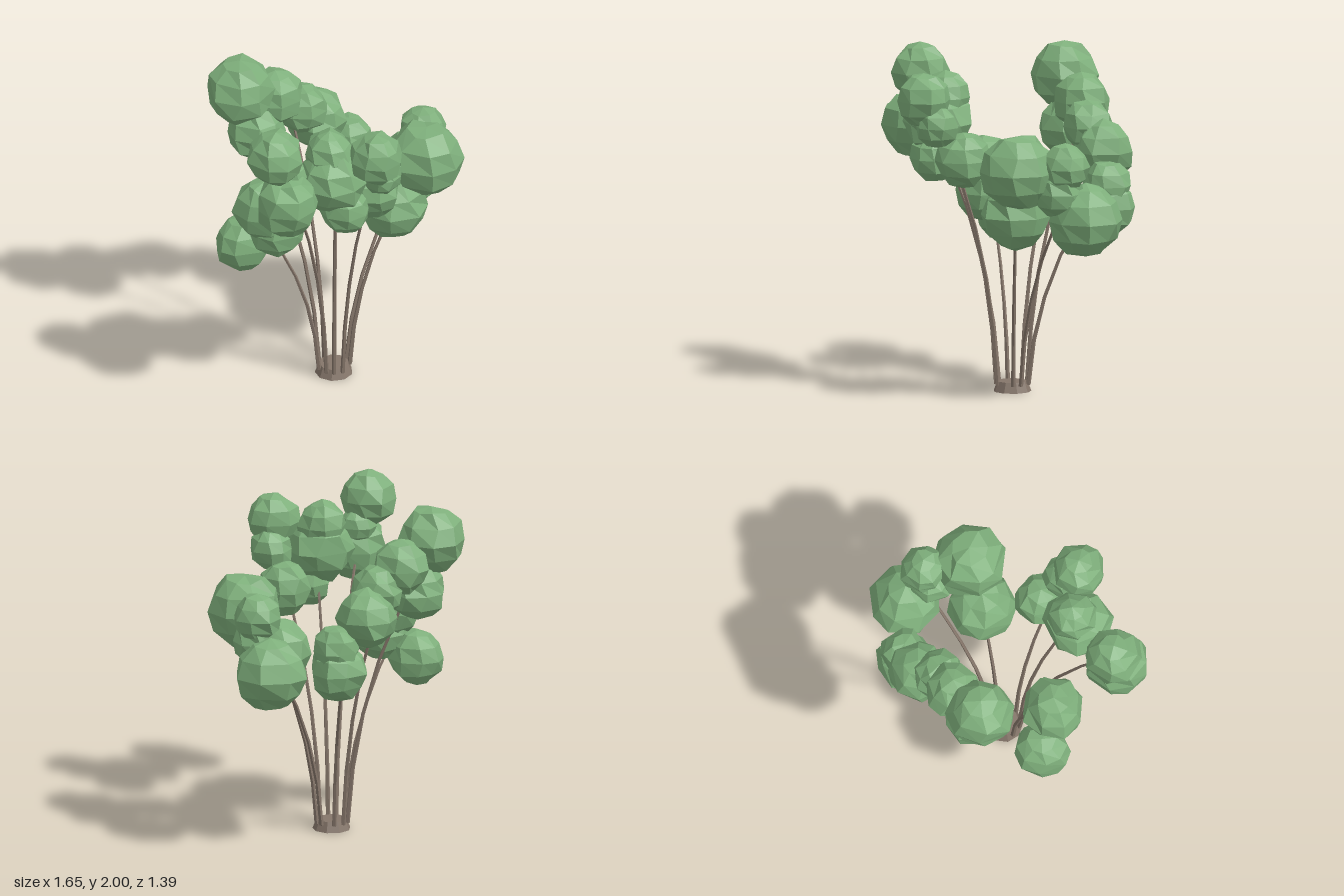
import * as THREE from 'three';

const leafMat = new THREE.MeshStandardMaterial({ color: 0x7fb07c, flatShading: true });
const woodMat = new THREE.MeshStandardMaterial({ color: 0x85766a, flatShading: true, side: THREE.DoubleSide });

// each branch: foliage balls [x, y, z, radius]; the stem grows into their middle
const branches = [
  [[-0.385, 1.79, -0.49, 0.2], [-0.29, 1.49, -0.47, 0.17]],
  [[-0.14, 1.67, -0.485, 0.165], [0.02, 1.55, -0.45, 0.15]],
  [[0.15, 1.42, -0.495, 0.175], [0.34, 1.25, -0.43, 0.14], [0.33, 1.12, -0.435, 0.17]],
  [[0.615, 1.1, -0.165, 0.215], [0.6, 1.42, -0.04, 0.14], [0.57, 1.27, -0.02, 0.15]],
  [[0.28, 1.1, 0.13, 0.205], [0.465, 1.39, 0.2, 0.22]],
  [[0.0, 1.4, 0.34, 0.16], [-0.11, 1.75, 0.54, 0.155], [-0.04, 1.6, 0.49, 0.125]],
  [[-0.3, 1.58, 0.36, 0.2], [-0.29, 1.73, 0.32, 0.145], [-0.24, 1.38, 0.41, 0.145]],
  [[-0.62, 1.52, 0.37, 0.19], [-0.66, 1.82, 0.31, 0.165], [-0.57, 1.67, 0.31, 0.11]],
  [[-0.57, 0.97, -0.18, 0.165], [-0.45, 1.12, 0.0, 0.165], [-0.51, 1.25, -0.03, 0.185]],
];
const rootX = -0.05;

// repeatable wobble: the same position always gives the same value in -1..1
function wobble(x, y, z, seed) {
  const s = Math.sin(Math.round(x * 1e4) * 0.127 + Math.round(y * 1e4) * 0.311 + Math.round(z * 1e4) * 0.747 + seed * 4.1) * 43758.5;
  return (s - Math.floor(s)) * 2 - 1;
}

// faceted ball with uneven vertices
function foliageBall([x, y, z, r], seed) {
  const geo = new THREE.SphereGeometry(1, 8, 6);
  const p = geo.attributes.position;
  const up = new THREE.Vector3(0, 1, 0);
  const v = new THREE.Vector3();
  for (let i = 0; i < p.count; i++) {
    v.fromBufferAttribute(p, i);
    const a = wobble(v.x, v.y, v.z, seed);
    const b = wobble(v.z, v.x, v.y, seed + 7);
    v.applyAxisAngle(up, b * 0.16);
    v.multiplyScalar(r * (1.015 + a * 0.07));
    p.setXYZ(i, v.x, v.y, v.z);
  }
  geo.computeVertexNormals();
  const ball = new THREE.Mesh(geo, leafMat);
  ball.name = 'foliageBall';
  ball.position.set(x, y, z);
  ball.rotation.y = seed * 1.7;
  return ball;
}

// thin stem that bends outward and tapers toward its tip
function stem(tip) {
  const dir = new THREE.Vector3(tip.x - rootX, 0, tip.z).normalize();
  const start = new THREE.Vector3(rootX, 0.04, 0).addScaledVector(dir, 0.095);
  const bend = start.clone().lerp(tip, 0.1);
  bend.y = 0.04 + (tip.y - 0.04) * 0.55;
  const curve = new THREE.QuadraticBezierCurve3(start, bend, tip);
  const segs = 5, sides = 5;
  const geo = new THREE.TubeGeometry(curve, segs, 0.014, sides, false);
  const p = geo.attributes.position;
  const v = new THREE.Vector3();
  for (let i = 0; i < p.count; i++) {
    const t = Math.floor(i / (sides + 1)) / segs;
    const c = curve.getPointAt(t);
    v.fromBufferAttribute(p, i).sub(c).multiplyScalar(1 - 0.5 * t).add(c);
    p.setXYZ(i, v.x, v.y, v.z);
  }
  const mesh = new THREE.Mesh(geo, woodMat);
  mesh.name = 'stem';
  return mesh;
}

export function createModel() {
  const model = new THREE.Group();
  model.name = 'bush';

  // low root stump
  const root = new THREE.Mesh(new THREE.CylinderGeometry(0.088, 0.112, 0.06, 9), woodMat);
  root.name = 'rootStump';
  root.position.set(rootX, 0.03, 0);
  model.add(root);

  branches.forEach((balls, i) => {
    const branch = new THREE.Group();
    branch.name = 'branch';
    const middle = new THREE.Vector3();
    balls.forEach(([x, y, z], j) => {
      middle.add(new THREE.Vector3(x, y, z));
      branch.add(foliageBall(balls[j], i * 3 + j + 1));
    });
    branch.add(stem(middle.divideScalar(balls.length)));
    model.add(branch);
  });
  return model;
}
